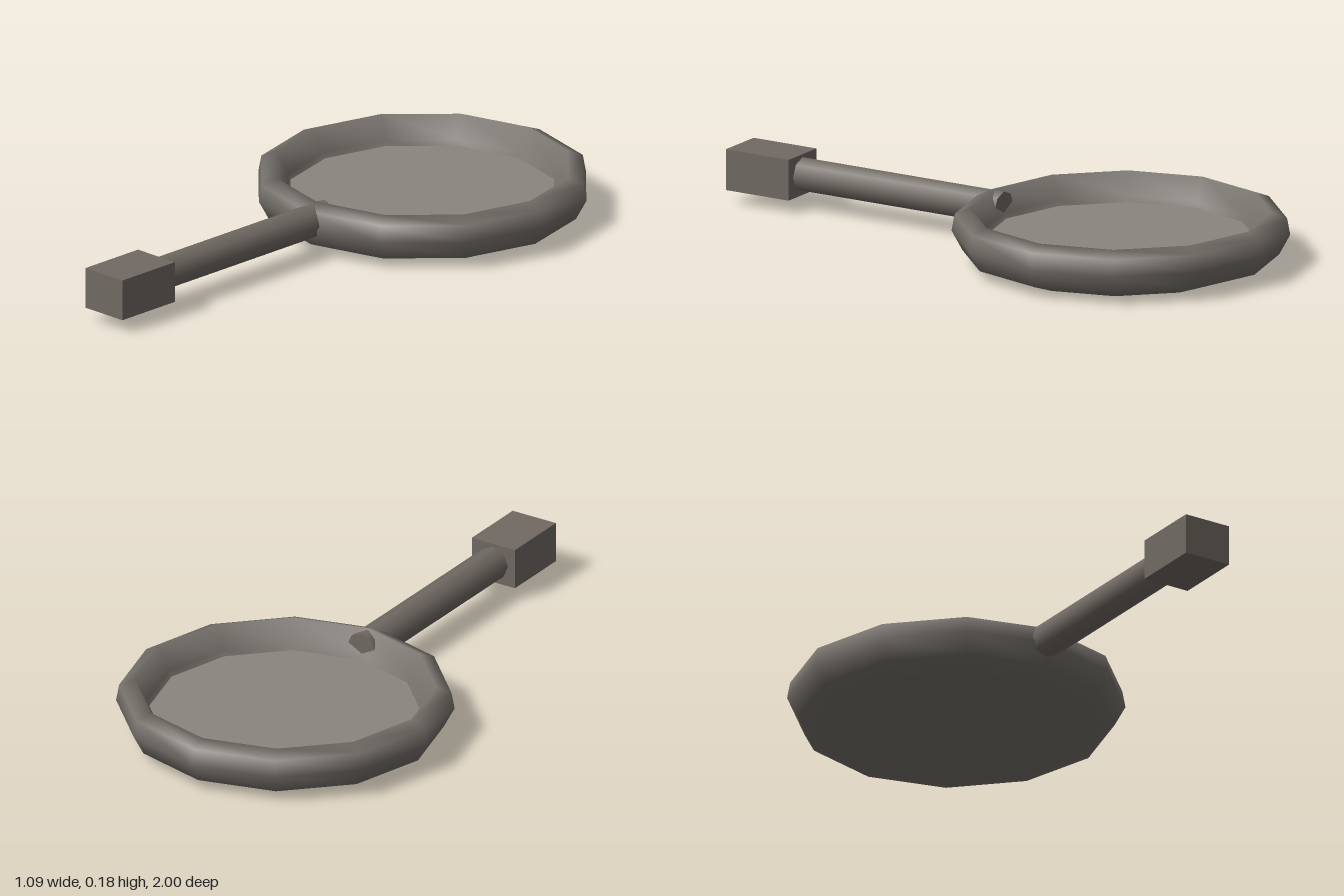
import * as THREE from 'three';

const SIDES = 12;
const PAN_Z = -0.457;

export function createModel() {
  const model = new THREE.Group();
  const bodyMat = new THREE.MeshStandardMaterial({ color: 0x76716b });
  const floorMat = new THREE.MeshStandardMaterial({ color: 0x8a857e });
  const handleMat = new THREE.MeshStandardMaterial({ color: 0x706963 });

  const add = (name, geometry, material, y, z) => {
    const mesh = new THREE.Mesh(geometry, material);
    mesh.name = name;
    mesh.position.set(0, y, z);
    model.add(mesh);
  };

  // Underside, rounded outer wall, rim and hollow inside in one profile
  const profile = [
    [0, 0], [0.41, 0], [0.51, 0.035], [0.545, 0.1], [0.535, 0.155],
    [0.485, 0.175], [0.447, 0.1], [0.42, 0.045], [0, 0.045],
  ].map(([r, y]) => new THREE.Vector2(r, y));
  add('panBody', new THREE.LatheGeometry(profile, SIDES), bodyMat, 0, PAN_Z);

  // Lighter cooking surface, its edge sunk into the wall
  const floor = new THREE.CircleGeometry(0.442, SIDES);
  floor.rotateX(-Math.PI / 2);
  add('cookingSurface', floor, floorMat, 0.082, PAN_Z);

  // Handle, its inner end just poking through the wall
  const start = -0.01, end = 0.78;
  const rod = new THREE.CylinderGeometry(0.056, 0.056, end - start, 8);
  rod.rotateX(Math.PI / 2);
  add('handle', rod, handleMat, 0.115, (start + end) / 2);

  // Square grip block at the end of the handle
  add('gripBlock', new THREE.BoxGeometry(0.166, 0.136, 0.24), handleMat, 0.113, 0.88);

  return model;
}
